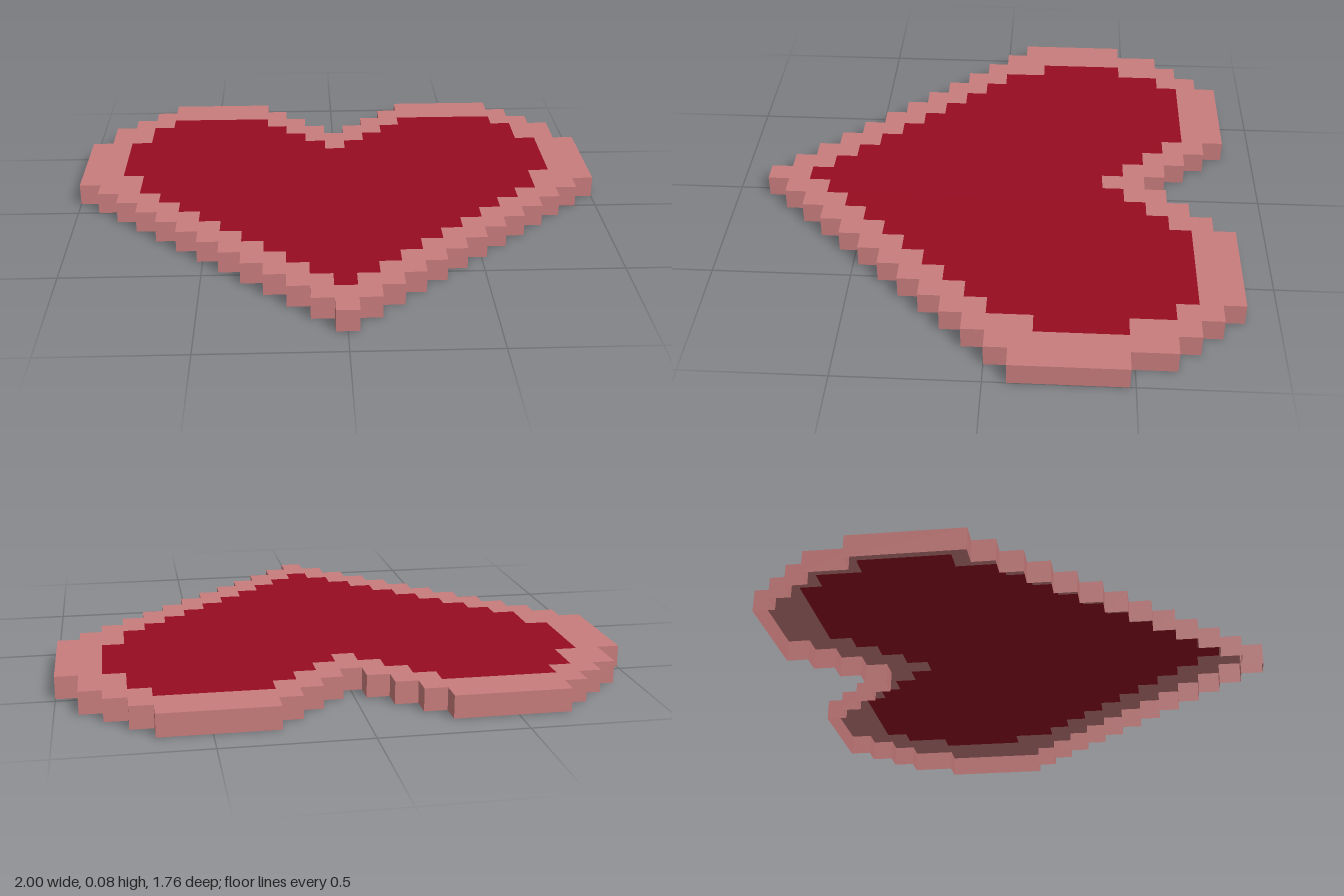
import * as THREE from 'three';

const CELL = 0.08;   // pixel size, also the height of the tile

// Pixel heart outline: a staircase from the tip up the right side, then upper
// columns [x, z where the column ends], mirrored to the left. Returns [x, -z] points.
function heartOutline(tipZ, steps, upper) {
  const columns = [];
  for (let k = 0; k < steps; k++) {
    columns.push([CELL * (k + 0.5), tipZ - CELL * (k + 1)]);
  }
  columns.push(...upper);
  const half = [];
  let z = tipZ;
  for (const [x, end] of columns) {
    half.push(new THREE.Vector2(x, -z), new THREE.Vector2(x, -end));
    z = end;
  }
  const mirrored = half.map(p => new THREE.Vector2(-p.x, p.y)).reverse();
  return [...half, ...mirrored];
}

// Flat horizontal plate on the top level
function plate(name, shape, material) {
  const geometry = new THREE.ShapeGeometry(shape);
  geometry.rotateX(-Math.PI / 2);
  const mesh = new THREE.Mesh(geometry, material);
  mesh.position.y = CELL;
  mesh.name = name;
  return mesh;
}

// Thin upright wall following an outline
function wall(name, outline, height, material) {
  const positions = [];
  outline.forEach((a, i) => {
    const b = outline[(i + 1) % outline.length];
    const a0 = [a.x, 0, -a.y], b0 = [b.x, 0, -b.y];
    const a1 = [a.x, height, -a.y], b1 = [b.x, height, -b.y];
    positions.push(...a0, ...b0, ...b1, ...a0, ...b1, ...a1);
  });
  const geometry = new THREE.BufferGeometry();
  geometry.setAttribute('position', new THREE.Float32BufferAttribute(positions, 3));
  geometry.computeVertexNormals();
  const mesh = new THREE.Mesh(geometry, material);
  mesh.name = name;
  return mesh;
}

export function createModel() {
  const pink = new THREE.MeshStandardMaterial({ color: 0xc97c7c, side: THREE.DoubleSide });
  pink.name = 'dusty pink';
  const red = new THREE.MeshStandardMaterial({ color: 0x960c20, side: THREE.DoubleSide });
  red.name = 'deep red';

  const outer = heartOutline(0.88, 12, [
    [1, -0.48], [0.92, -0.64], [0.84, -0.72], [0.76, -0.8], [0.68, -0.88],
    [0.28, -0.8], [0.2, -0.72], [0.12, -0.64], [0.04, -0.56],
  ]);
  const inner = heartOutline(0.72, 9, [
    [0.76, -0.16], [0.84, -0.48], [0.76, -0.64], [0.68, -0.72],
    [0.28, -0.64], [0.2, -0.56], [0.12, -0.48], [0.04, -0.4],
  ]);

  // Border ring with a heart-shaped hole, filled by the red heart
  const ring = new THREE.Shape(outer);
  ring.holes.push(new THREE.Path(inner));

  const model = new THREE.Group();
  model.name = 'pixelHeart';
  model.add(
    plate('borderTop', ring, pink),
    plate('heartFill', new THREE.Shape(inner), red),
    wall('borderWall', outer, CELL, pink),   // the underside stays open
  );
  return model;
}
